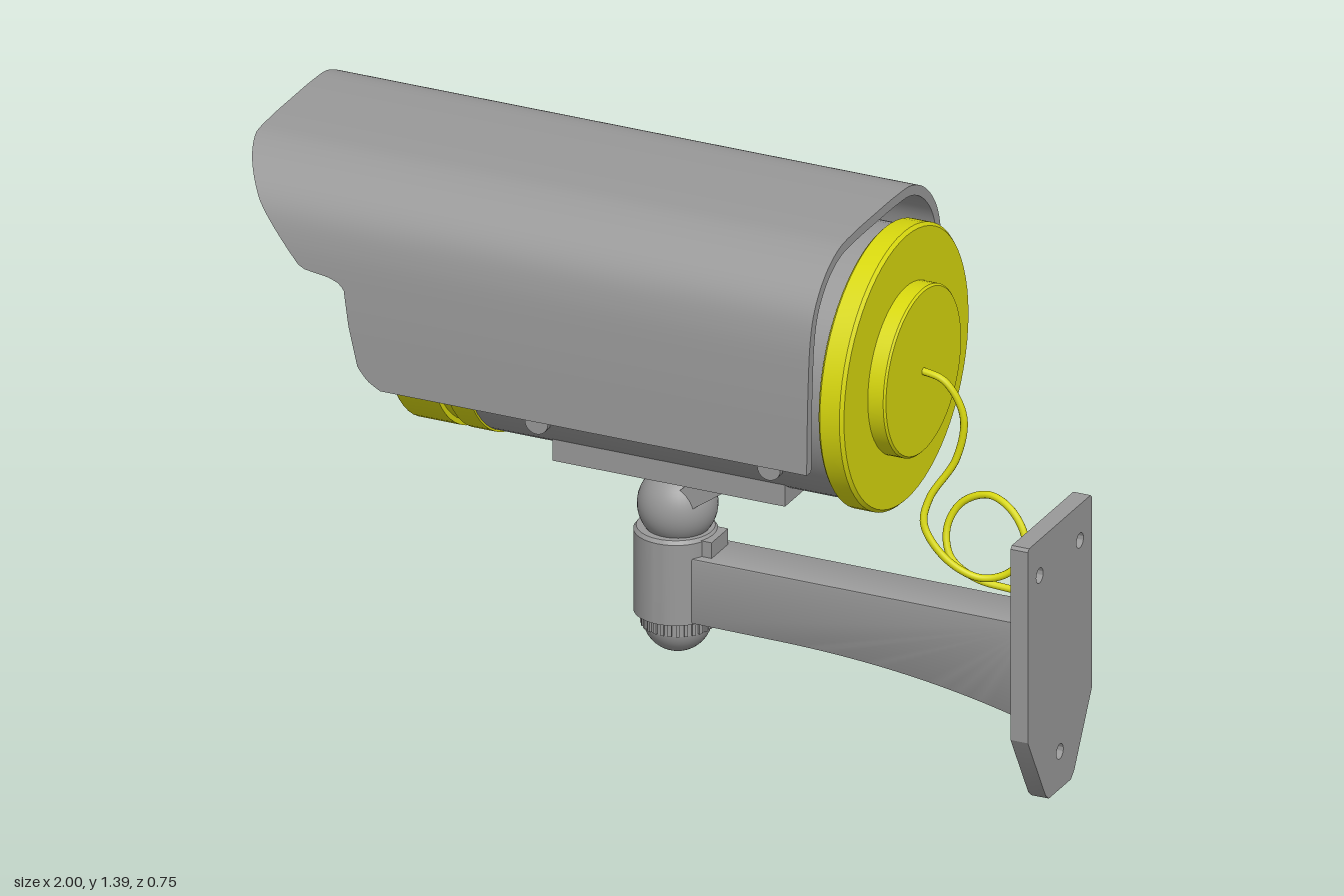
import * as THREE from 'three';
import { mergeGeometries, toCreasedNormals } from 'three/addons/utils/BufferGeometryUtils.js';

const grey = new THREE.MeshStandardMaterial({ name: 'greyMetal', color: 0x999999 });
const yellow = new THREE.MeshStandardMaterial({ name: 'yellowPlastic', color: 0xd8d80e });
const AXIS_Y = 1.01; // height of the housing axis

const v2 = (pts) => pts.map(([a, b]) => new THREE.Vector2(a, b));

function add(parent, name, geometry, material, x = 0, y = 0, z = 0) {
  const mesh = new THREE.Mesh(geometry, material);
  mesh.name = name;
  mesh.position.set(x, y, z);
  parent.add(mesh);
  return mesh;
}

// Turned part: profile of [radius, height], optionally laid along x
function turned(profile, alongX = true) {
  const g = new THREE.LatheGeometry(v2(profile), 64);
  if (alongX) g.rotateZ(-Math.PI / 2);
  return toCreasedNormals(g, 0.6);
}

// Plate extruded along z and centred on it
function plate(shape, depth, bevel = 0) {
  const g = new THREE.ExtrudeGeometry(shape, {
    depth: depth - 2 * bevel, bevelEnabled: bevel > 0, bevelSize: bevel,
    bevelThickness: bevel, bevelOffset: -bevel, bevelSegments: 2, curveSegments: 24,
  });
  return toCreasedNormals(g.translate(0, 0, bevel - depth / 2), 0.5);
}

// Smooth band between two rows of points
function strip(a, b) {
  const n = a.length, index = [];
  for (let i = 0; i < n - 1; i++) {
    index.push(i, n + i, n + i + 1, i, n + i + 1, i + 1);
  }
  const g = new THREE.BufferGeometry().setFromPoints([...a, ...b]);
  g.setIndex(index);
  g.computeVertexNormals();
  return g;
}

// Front edge of the sunshade as a function of height
const edge = [[1.4, -1], [1.385, -1], [1.28, -0.925], [1.15, -0.81], [1.137, -0.785], [1.131, -0.715],
  [1.11, -0.69], [1.02, -0.675], [0.92, -0.65], [0.89, -0.625], [0.875, -0.6], [0.865, -0.58]];
function frontX(y) {
  for (let i = 1; i < edge.length; i++) {
    const [y0, x0] = edge[i - 1], [y1, x1] = edge[i];
    if (y >= y1) return x0 + (x1 - x0) * Math.min(1, Math.max(0, (y0 - y) / (y0 - y1)));
  }
  return -0.58;
}

// Arched sheet with trimmed front
function sunshadeGeometry() {
  const half = [[0.376, 0.87], [0.374, 0.96], [0.369, 1.08], [0.358, 1.2], [0.332, 1.28],
    [0.275, 1.345], [0.2, 1.383], [0.11, 1.392]];
  const arch = new THREE.SplineCurve(v2([...half, [0, 1.393], ...half.map(([z, y]) => [-z, y]).reverse()]));
  const of = [], ob = [], inf = [], inb = [], n = 180, t = 0.025, back = 0.52;
  for (let i = 0; i <= n; i++) {
    const p = arch.getPointAt(i / n), d = arch.getTangentAt(i / n), x = frontX(p.y);
    const z = p.x - d.y * t, y = p.y + d.x * t;
    of.push(new THREE.Vector3(x, p.y, p.x));
    ob.push(new THREE.Vector3(back, p.y, p.x));
    inf.push(new THREE.Vector3(x, y, z));
    inb.push(new THREE.Vector3(back, y, z));
  }
  return mergeGeometries([
    strip(of, ob), strip(inb, inf), strip(inf, of), strip(ob, inb),
    strip([inf[0], of[0]], [inb[0], ob[0]]),
    strip([of[n], inf[n]], [ob[n], inb[n]]),
  ]);
}

function buildHousing() {
  const g = new THREE.Group();
  g.name = 'housing';
  add(g, 'sunshade', sunshadeGeometry(), grey);
  add(g, 'body', turned([[0.3, -0.4], [0.33, -0.4], [0.33, 0.54], [0.3, 0.54]]), grey, 0, AXIS_Y);
  // Hollow front bezel with a groove
  add(g, 'frontBezel', turned([[0, -0.46], [0.28, -0.46], [0.28, -0.56], [0.3, -0.565], [0.3, -0.6],
    [0.33, -0.6], [0.335, -0.595], [0.335, -0.485], [0.322, -0.485], [0.322, -0.455],
    [0.335, -0.455], [0.335, -0.395], [0.3, -0.395]]), yellow, 0, AXIS_Y);
  // Rear caps
  add(g, 'rearCap', turned([[0, 0.535], [0.342, 0.535], [0.348, 0.541], [0.348, 0.592], [0.34, 0.6], [0, 0.6]]),
    yellow, 0, AXIS_Y);
  add(g, 'rearHub', turned([[0.21, 0.59], [0.21, 0.64], [0.205, 0.645], [0, 0.645]]), yellow, 0, AXIS_Y);
  // Side screws
  for (const x of [-0.23, 0.375]) {
    for (const s of [-1, 1]) {
      add(g, 'sideScrew', new THREE.CylinderGeometry(0.03, 0.03, 0.06, 24).rotateX(Math.PI / 2),
        grey, x, 0.82, s * 0.249);
    }
  }
  add(g, 'mountPlate', new THREE.BoxGeometry(0.605, 0.06, 0.38), grey, 0.0725, 0.715, 0);
  return g;
}

function buildBracket() {
  const g = new THREE.Group();
  g.name = 'bracket';
  // Forked foot holding the ball
  const fork = new THREE.Shape(v2([[0.29, 0.69], [0.13, 0.69], [0.02, 0.59], [0.0, 0.54], [0.05, 0.55],
    [0.17, 0.635], [0.29, 0.635]]));
  for (const s of [-1, 1]) add(g, 'forkArm', plate(fork, 0.035), grey, 0, 0, s * 0.045);
  add(g, 'forkBridge', new THREE.BoxGeometry(0.07, 0.05, 0.06), grey, 0.255, 0.662, 0);
  add(g, 'ball', new THREE.SphereGeometry(0.096, 40, 28), grey, 0.005, 0.545, 0);
  // Socket and clamp
  add(g, 'socket', turned([[0, 0.27], [0.1, 0.27], [0.1, 0.478], [0.093, 0.487], [0, 0.487]], false), grey);
  add(g, 'socketClamp', new THREE.BoxGeometry(0.07, 0.045, 0.09), grey, 0.08, 0.458, 0);
  // Knurled knob with a domed end
  add(g, 'knob', new THREE.CylinderGeometry(0.083, 0.083, 0.04, 40), grey, 0.005, 0.255, 0);
  for (let i = 0; i < 28; i++) {
    const a = (i / 28) * Math.PI * 2;
    add(g, 'knobRib', new THREE.BoxGeometry(0.01, 0.036, 0.009), grey,
      0.005 + 0.083 * Math.cos(a), 0.254, 0.083 * Math.sin(a)).rotation.y = -a;
  }
  add(g, 'knobDome', new THREE.SphereGeometry(0.083, 40, 24), grey, 0.005, 0.252, 0);
  // Arm with curved underside
  const arm = new THREE.Shape();
  arm.moveTo(0.05, 0.44);
  arm.lineTo(0.05, 0.272);
  arm.lineTo(0.3, 0.27);
  arm.bezierCurveTo(0.52, 0.268, 0.74, 0.245, 0.96, 0.185);
  arm.lineTo(0.96, 0.44);
  add(g, 'arm', plate(arm, 0.135, 0.004), grey);
  // Wall plate with three bolt holes
  const wall = new THREE.Shape(v2([[-0.168, 0.69], [-0.175, 0.683], [-0.175, 0.19], [-0.078, 0.015], [-0.06, 0],
    [0.06, 0], [0.078, 0.015], [0.175, 0.19], [0.175, 0.683], [0.168, 0.69]]));
  for (const [x, y] of [[-0.11, 0.597], [0.11, 0.597], [0, 0.097]]) {
    wall.holes.push(new THREE.Path().absarc(x, y, 0.019, 0, Math.PI * 2, true));
  }
  add(g, 'wallPlate', plate(wall, 0.045).rotateY(Math.PI / 2), grey, 0.9775, 0, 0);
  return g;
}

export function createModel() {
  const model = new THREE.Group();
  model.name = 'securityCamera';
  model.add(buildHousing(), buildBracket());
  // Looped cable from the rear hub to the wall plate
  const path = new THREE.CatmullRomCurve3([
    [0.635, 1.012, 0], [0.7, 0.995, 0], [0.745, 0.91, -0.008], [0.73, 0.8, 0], [0.675, 0.7, 0.03],
    [0.67, 0.64, 0.05], [0.73, 0.56, 0.05], [0.81, 0.52, 0.03], [0.88, 0.545, 0.01], [0.908, 0.615, -0.005],
    [0.87, 0.68, -0.02], [0.8, 0.706, -0.035], [0.73, 0.675, -0.03], [0.702, 0.615, -0.01],
    [0.72, 0.55, 0.01], [0.78, 0.505, 0.005], [0.86, 0.487, -0.01], [0.96, 0.487, -0.01],
  ].map((p) => new THREE.Vector3(...p)));
  add(model, 'cable', new THREE.TubeGeometry(path, 160, 0.009, 10), yellow);
  return model;
}
